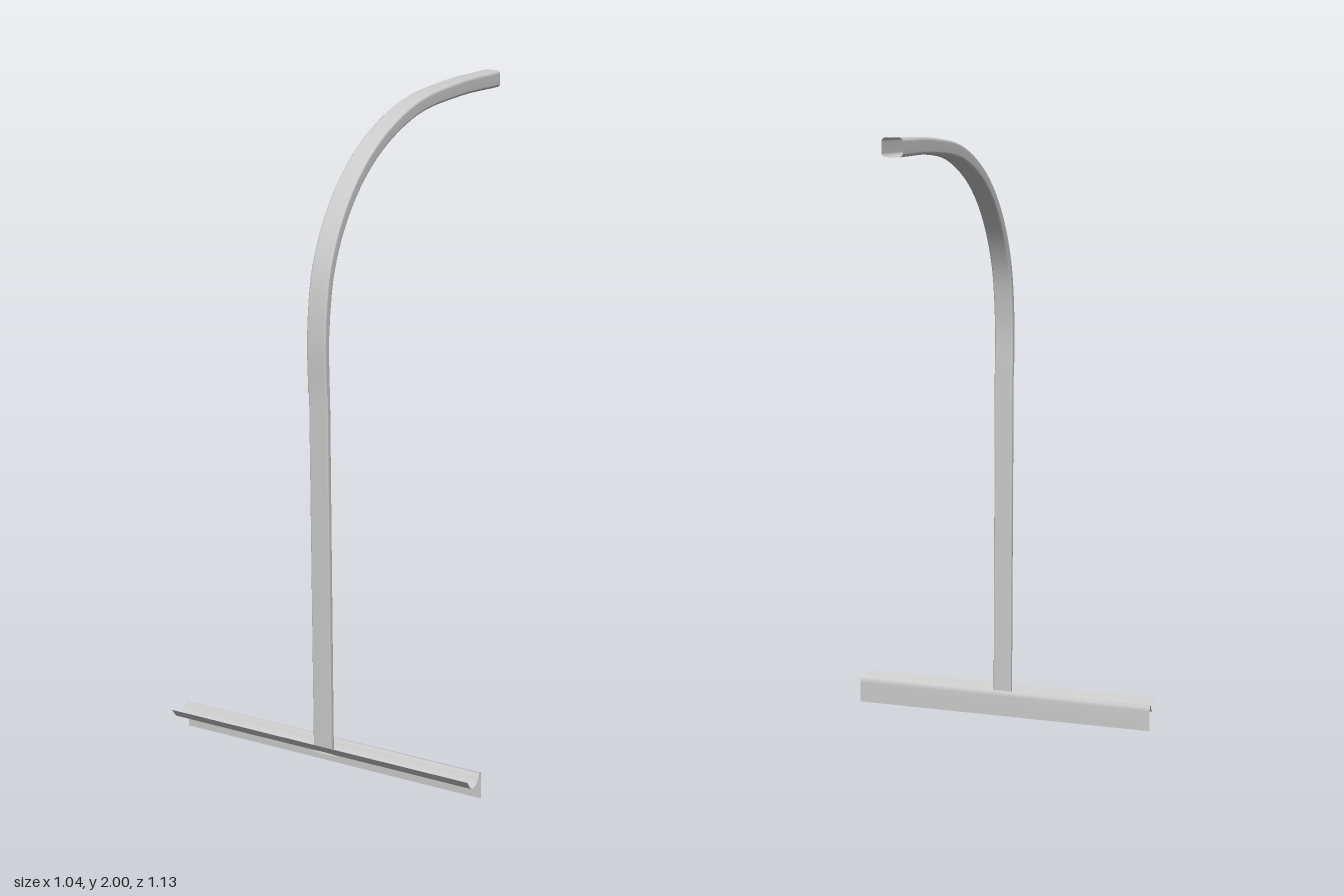
import * as THREE from 'three';

const material = new THREE.MeshStandardMaterial({ color: 0xcccccc, side: THREE.DoubleSide });

// Skins a list of equally long cross-sections (arrays of Vector3) with smooth normals.
function loft(name, sections, closed) {
  const n = sections[0].length;
  const index = [];
  for (let i = 0; i < sections.length - 1; i++) {
    for (let j = 0; j < (closed ? n : n - 1); j++) {
      const a = i * n + j, b = i * n + (j + 1) % n;
      index.push(a, b, a + n, b, b + n, a + n);
    }
  }
  const geometry = new THREE.BufferGeometry().setFromPoints(sections.flat());
  geometry.setIndex(index);
  geometry.computeVertexNormals();
  const mesh = new THREE.Mesh(geometry, material);
  mesh.name = name;
  return mesh;
}

// Rectangle outline with rounded corners, counter-clockwise.
function roundedOutline(width, depth, radius) {
  const points = [];
  const corners = [[1, 1], [-1, 1], [-1, -1], [1, -1]];
  corners.forEach(([sx, sy], c) => {
    for (let k = 0; k <= 4; k++) {
      const a = (c + k / 4) * Math.PI / 2;
      points.push([
        sx * (width / 2 - radius) + radius * Math.cos(a),
        sy * (depth / 2 - radius) + radius * Math.sin(a),
      ]);
    }
  });
  return points;
}

export function createModel() {
  const model = new THREE.Group();
  const poleX = 0.01, width = 0.063;

  // One hollow section swept along a path in the yz plane; depth varies along it.
  const sweep = (name, path, steps, depthAt) => {
    const sections = [];
    for (let i = 0; i <= steps; i++) {
      const t = i / steps;
      const p = path.getPointAt(t), d = path.getTangentAt(t);
      const depth = depthAt(t);
      sections.push(roundedOutline(width, depth, depth * 0.2).map(([u, v]) =>
        new THREE.Vector3(poleX + u, p.y + v * -d.z, p.z + v * d.y)).reverse());
    }
    return loft(name, sections, true);
  };
  const v = (z, y) => new THREE.Vector3(0, y, z);

  // Straight upright
  model.add(sweep('upright', new THREE.LineCurve3(v(0.522, 0.055), v(0.522, 1.2)), 1, () => 0.018));

  // Curved arm, growing deeper towards its open end
  const armPath = new THREE.CatmullRomCurve3([
    v(0.525, 1.18), v(0.525, 1.36), v(0.488, 1.55), v(0.388, 1.713),
    v(0.232, 1.842), v(-0.005, 1.936), v(-0.286, 1.968), v(-0.565, 1.973),
  ]);
  model.add(sweep('curvedArm', armPath, 48, (t) => 0.022 + 0.032 * t));

  // Base rail: a bent sheet with a back flange, a rounded crest, a trough and a raised front lip
  const profile = [
    [0.475, 0], [0.475, 0.07], [0.477, 0.082], [0.483, 0.088], [0.489, 0.085],
    [0.495, 0.076], [0.502, 0.065], [0.511, 0.058], [0.524, 0.055],
    [0.537, 0.058], [0.546, 0.065], [0.565, 0.09],
  ];
  const rail = [-0.52, 0.52].map((x) => profile.map(([z, y]) => new THREE.Vector3(x, y, z)));
  model.add(loft('baseRail', rail.reverse(), false));

  // Small flared foot where the upright meets the rail
  const foot = new THREE.Mesh(new THREE.CylinderGeometry(0.85, 1, 1, 24), material);
  foot.scale.set(0.05, 0.01, 0.02);
  foot.position.set(poleX, 0.06, 0.524);
  foot.name = 'uprightFoot';
  model.add(foot);

  return model;
}
